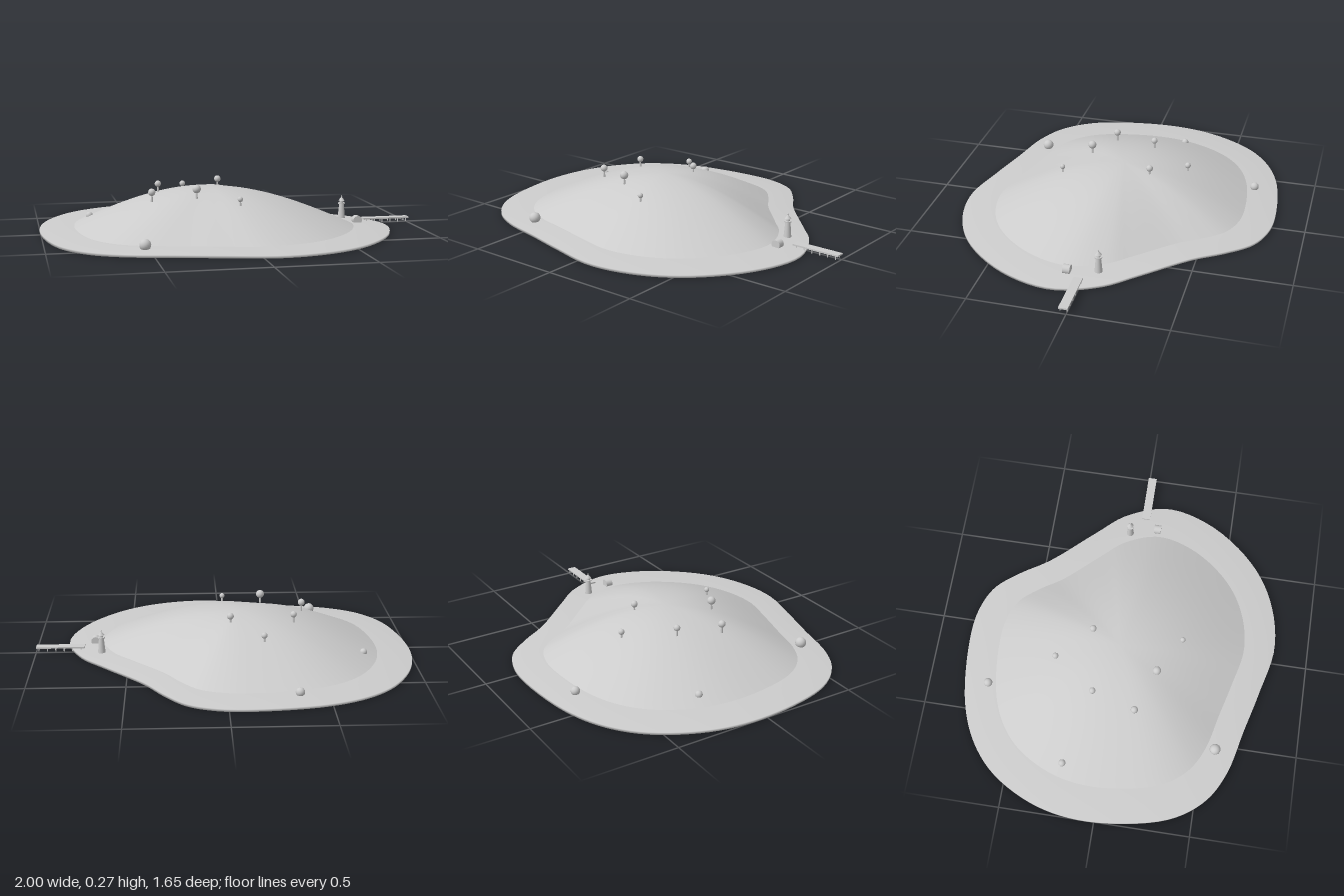
import * as THREE from 'three';
import { mergeVertices } from 'three/addons/utils/BufferGeometryUtils.js';

const grey = new THREE.MeshStandardMaterial({ color: 0xcccccc });
grey.name = 'plainGrey';

const CENTRE_X = -0.1;
const SEGMENTS = 120;

// Wavy shoreline (x, z), clockwise seen from above
const shore = new THREE.CatmullRomCurve3([
  [-0.105, -0.83], [0.06, -0.815], [0.2, -0.755], [0.31, -0.63], [0.41, -0.48], [0.62, -0.25], [0.75, -0.1],
  [0.83, 0.13], [0.76, 0.39], [0.565, 0.64], [0.35, 0.77], [0.09, 0.82], [-0.185, 0.765],
  [-0.4, 0.71], [-0.64, 0.65], [-0.8, 0.56], [-0.92, 0.4], [-0.99, 0.13], [-1, -0.13],
  [-0.95, -0.35], [-0.825, -0.57], [-0.665, -0.705], [-0.45, -0.79],
].map(([x, z]) => new THREE.Vector3(x, 0, z)), true);

function add(parent, name, geometry, x = 0, y = 0, z = 0) {
  const mesh = new THREE.Mesh(geometry, grey);
  mesh.name = name;
  mesh.position.set(x, y, z);
  parent.add(mesh);
  return mesh;
}

// Lathe whose rings follow the shoreline, profile radius 1 = water's edge
function shoreLathe(profile) {
  const geometry = new THREE.LatheGeometry(profile.map(([r, y]) => new THREE.Vector2(r, y)), SEGMENTS);
  const pos = geometry.attributes.position;
  const nor = geometry.attributes.normal;
  const count = profile.length;
  for (let i = 0; i <= SEGMENTS; i++) {
    const phi = (i / SEGMENTS) * Math.PI * 2;
    const p = shore.getPoint(1 - i / SEGMENTS);
    const dx = p.x - CENTRE_X;
    const dz = p.z;
    const length = Math.hypot(dx, dz);
    for (let j = 0; j < count; j++) {
      const k = i * count + j;
      const r = profile[j][0];
      const out = nor.getX(k) * Math.sin(phi) + nor.getZ(k) * Math.cos(phi);
      pos.setXYZ(k, CENTRE_X + dx * r, profile[j][1], dz * r);
      nor.setXYZ(k, (dx / length) * out, nor.getY(k), (dz / length) * out);
    }
  }
  return geometry;
}

function createTree(x, y, z, r) {
  const tree = new THREE.Group();
  tree.name = 'tree';
  tree.position.set(x, y, z);
  add(tree, 'trunk', new THREE.CylinderGeometry(0.004, 0.006, 0.05, 8), 0, -0.025, 0);
  add(tree, 'foliage', new THREE.SphereGeometry(r, 16, 12));
  return tree;
}

function createLighthouse() {
  const tower = new THREE.Group();
  tower.name = 'lighthouse';
  tower.position.set(0.645, 0, -0.06);
  add(tower, 'tower', new THREE.CylinderGeometry(0.013, 0.02, 0.08, 20), 0, 0.06, 0);
  add(tower, 'gallery', new THREE.CylinderGeometry(0.019, 0.019, 0.006, 20), 0, 0.103, 0);
  add(tower, 'lantern', new THREE.CylinderGeometry(0.01, 0.01, 0.014, 16), 0, 0.112, 0);
  add(tower, 'lanternRoof', new THREE.ConeGeometry(0.017, 0.022, 20), 0, 0.129, 0);
  add(tower, 'finial', new THREE.SphereGeometry(0.004, 10, 8), 0, 0.141, 0);
  return tower;
}

function createPier() {
  const pier = new THREE.Group();
  pier.name = 'pier';
  pier.position.set(0.87, 0, 0.016);
  add(pier, 'deck', new THREE.BoxGeometry(0.26, 0.008, 0.046), 0, 0.028, 0);
  for (let i = 0; i < 6; i++) {
    for (const side of [-1, 1]) {
      add(pier, 'post', new THREE.CylinderGeometry(0.003, 0.003, 0.018, 8), -0.11 + i * 0.045, 0.016, side * 0.018);
    }
  }
  return pier;
}

export function createModel() {
  const island = new THREE.Group();
  island.name = 'island';

  // Low sandy base with softly rounded rim
  add(island, 'beach', shoreLathe([[0, 0], [1, 0], [1, 0.013], [0.79, 0.025]]));

  // Domed hill
  const dome = [];
  for (let i = 0; i <= 20; i++) {
    const t = 1 - i / 20;
    dome.push([0.8 * t, 0.025 + 0.205 * Math.cos((t * Math.PI) / 2)]);
  }
  let hill = shoreLathe(dome);
  hill.deleteAttribute('normal');
  hill.deleteAttribute('uv');
  hill = mergeVertices(hill);
  hill.computeVertexNormals();
  add(island, 'hill', hill);

  // Trees: x, foliage height, z, foliage radius
  for (const spec of [
    [-0.435, 0.225, 0.125, 0.019], [-0.37, 0.235, -0.105, 0.017], [-0.215, 0.248, 0.21, 0.022],
    [-0.035, 0.246, -0.155, 0.018], [-0.01, 0.205, 0.32, 0.014], [-0.2, 0.2, -0.33, 0.016],
  ]) island.add(createTree(...spec));

  // Boulders around the foot of the hill
  for (const [x, y, z, r] of [
    [-0.53, 0.04, 0.57, 0.029], [-0.35, 0.035, -0.68, 0.023], [-0.73, 0.058, -0.21, 0.019],
  ]) add(island, 'boulder', new THREE.SphereGeometry(r, 16, 12), x, y, z);

  // Arched hut: half cylinder lying along z
  const hut = add(island, 'hut',
    new THREE.CylinderGeometry(0.024, 0.024, 0.038, 20), 0.685, 0.034, 0.09);
  hut.rotation.x = Math.PI / 2;

  island.add(createLighthouse(), createPier());
  return island;
}
